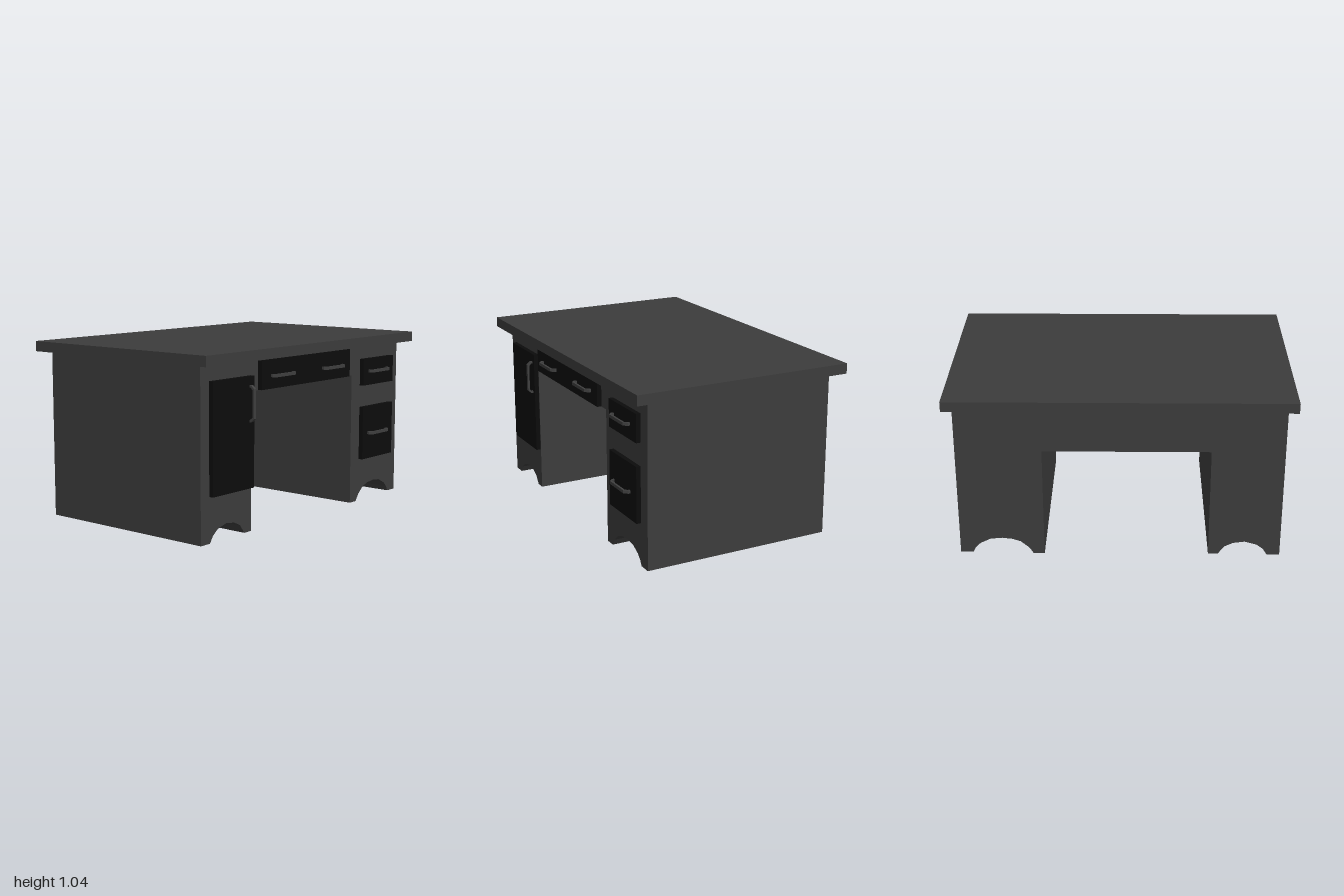
import * as THREE from 'three';

const FRONT = 0.58; // front plane of the carcass

export function createModel() {
  const desk = new THREE.Group();
  desk.name = 'desk';

  const mat = (name, color) => {
    const m = new THREE.MeshStandardMaterial({ color });
    m.name = name;
    return m;
  };
  const body = mat('charcoal body', 0x3c3c3c);
  const black = mat('black fronts', 0x0c0c0c);
  const metal = mat('grey handles', 0x3f3f3f);

  const add = (name, geometry, material) => {
    const mesh = new THREE.Mesh(geometry, material);
    mesh.name = name;
    desk.add(mesh);
    return mesh;
  };
  // Box given by its minimum and maximum on each axis
  const box = (name, material, x0, x1, y0, y1, z0, z1) =>
    add(name, new THREE.BoxGeometry(x1 - x0, y1 - y0, z1 - z0), material)
      .position.set((x0 + x1) / 2, (y0 + y1) / 2, (z0 + z1) / 2);

  // Pedestal with an arched cut-out running through its base
  const pedestal = (name, x0, x1, footY, arch) => {
    const s = new THREE.Shape();
    s.moveTo(x0, 0);
    arch.forEach(([x, y]) => s.lineTo(x, y));
    s.lineTo(x1, footY);
    s.lineTo(x1, 0.98);
    s.lineTo(x0, 0.98);
    s.closePath();
    const g = new THREE.ExtrudeGeometry(s, { depth: 2 * FRONT, bevelEnabled: false });
    add(name, g.translate(0, 0, -FRONT), body);
  };

  // Worktop and pedestals
  box('worktop', body, -1, 1, 0.98, 1.04, -0.665, 0.665);
  pedestal('rightPedestal', -0.95, -0.525, 0.005, [
    [-0.875, 0], [-0.85, 0.04], [-0.81, 0.07], [-0.74, 0.09],
    [-0.67, 0.08], [-0.62, 0.055], [-0.583, 0.005]]);
  pedestal('leftPedestal', 0.45, 0.95, 0.01, [
    [0.515, 0], [0.54, 0.04], [0.59, 0.083], [0.64, 0.1], [0.7, 0.107],
    [0.77, 0.1], [0.83, 0.07], [0.86, 0.04], [0.875, 0.01]]);

  // Bridge between the pedestals: drawer housing and deeper back panel
  box('drawerHousing', body, -0.525, 0.45, 0.8, 0.98, -0.43, FRONT);
  box('backPanel', body, -0.525, 0.45, 0.69, 0.98, -FRONT, -0.43);

  // Door and drawer fronts: name, x0, x1, y0, y1
  [
    ['door', -0.88, -0.53, 0.26, 0.89],
    ['centreDrawer', -0.465, 0.39, 0.802, 0.97],
    ['upperDrawer', 0.54, 0.87, 0.73, 0.895],
    ['lowerDrawer', 0.54, 0.87, 0.265, 0.595],
  ].forEach(([name, x0, x1, y0, y1]) => box(name, black, x0, x1, y0, y1, FRONT, 0.607));

  // Pull handle: a bracket with chamfered corners, its legs facing the drawer
  const bracket = new THREE.Shape([
    [-0.103, 0], [-0.103, 0.015], [-0.083, 0.037], [0.083, 0.037],
    [0.103, 0.015], [0.103, 0], [0.09, 0], [0.09, 0.011],
    [0.077, 0.025], [-0.077, 0.025], [-0.09, 0.011], [-0.09, 0],
  ].map(([x, y]) => new THREE.Vector2(x, y)));
  const handleGeometry = new THREE.ExtrudeGeometry(bracket, { depth: 0.018, bevelEnabled: false })
    .translate(0, 0, -0.009).rotateX(Math.PI / 2);
  [
    ['doorHandle', -0.565, 0.738, true],
    ['centreDrawerHandleRight', -0.28, 0.877, false],
    ['centreDrawerHandleLeft', 0.207, 0.877, false],
    ['upperDrawerHandle', 0.695, 0.818, false],
    ['lowerDrawerHandle', 0.695, 0.428, false],
  ].forEach(([name, x, y, upright]) => {
    const handle = add(name, handleGeometry, metal);
    handle.position.set(x, y, 0.604);
    if (upright) handle.rotation.z = Math.PI / 2;
  });

  return desk;
}
